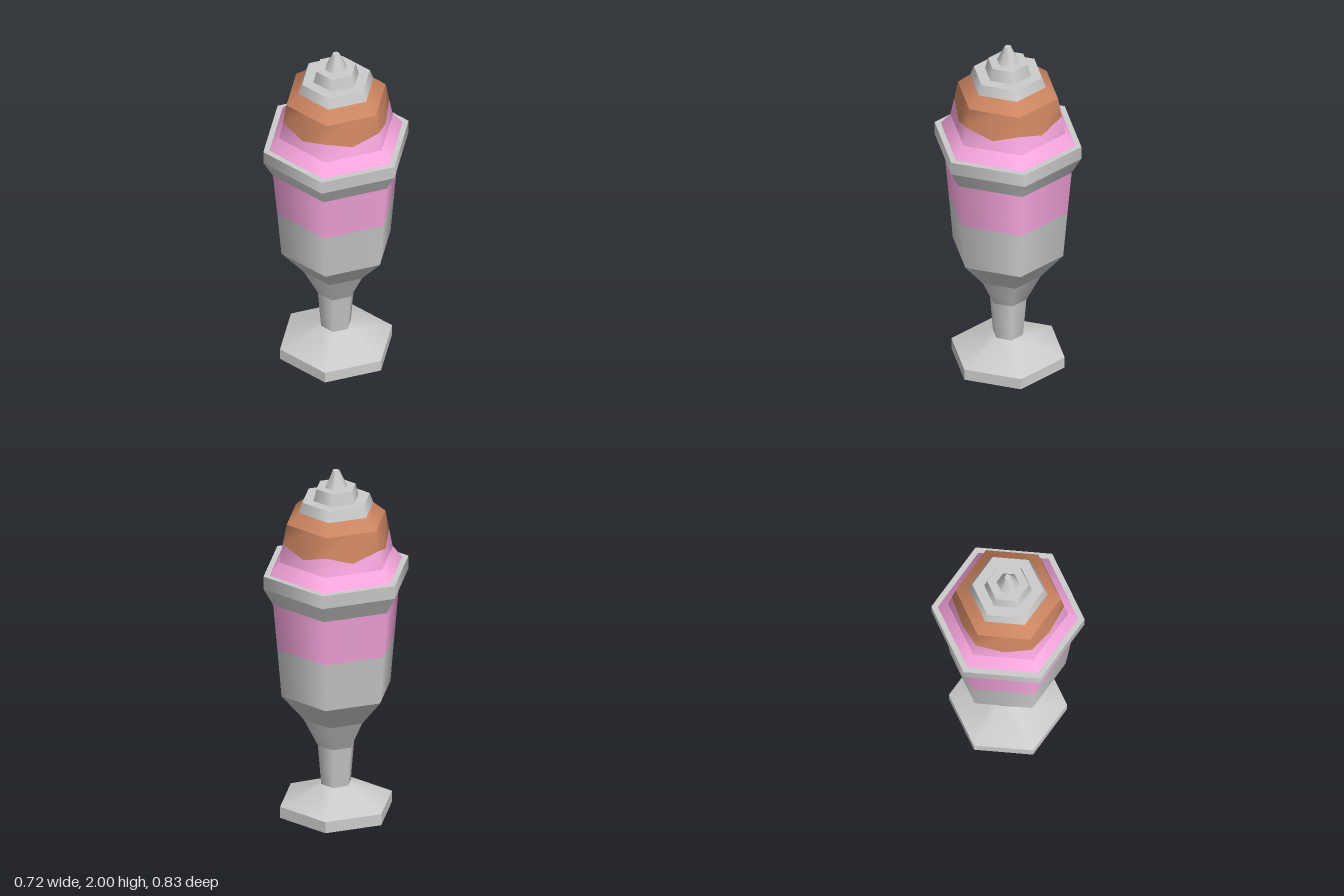
import * as THREE from 'three';

const SIDES = 6;
const glass = new THREE.MeshStandardMaterial({ color: 0xcccccc });
const glassFlat = new THREE.MeshStandardMaterial({ color: 0xcccccc, flatShading: true });
const pink = new THREE.MeshStandardMaterial({ color: 0xfaa8e0 });
const chocolate = new THREE.MeshStandardMaterial({ color: 0xcc8561 });

// Six-sided bands through [radius, y] points: smooth around, creased between bands
function turned(name, points, material) {
  const group = new THREE.Group();
  group.name = name;
  for (let i = 0; i < points.length - 1; i++) {
    const pair = [points[i], points[i + 1]].map(([r, y]) => new THREE.Vector2(r, y));
    const mesh = new THREE.Mesh(new THREE.LatheGeometry(pair, SIDES), material);
    mesh.name = name + 'Band' + (i + 1);
    group.add(mesh);
  }
  return group;
}

// Band between two hexagonal rows; each row gives [radius, y] at corners and at side middles
function zigzagBand(name, rows, material) {
  const n = SIDES * 2, positions = [], index = [];
  for (const row of rows) {
    for (let i = 0; i < n; i++) {
      const [r, y] = row[i % 2];
      const d = i % 2 ? r * Math.cos(Math.PI / SIDES) : r;
      const a = (i / n) * Math.PI * 2;
      positions.push(d * Math.sin(a), y, d * Math.cos(a));
    }
  }
  for (let i = 0; i < n; i++) {
    const j = (i + 1) % n;
    index.push(i, j, n + j, i, n + j, n + i);
  }
  const geometry = new THREE.BufferGeometry();
  geometry.setAttribute('position', new THREE.Float32BufferAttribute(positions, 3));
  geometry.setIndex(index);
  geometry.computeVertexNormals();
  const mesh = new THREE.Mesh(geometry, material);
  mesh.name = name;
  return mesh;
}

export function createModel() {
  const model = new THREE.Group();
  model.name = 'iceCreamSundae';

  // Glass: foot, stem and bowl
  model.add(turned('footEdge', [[0, 0], [0.32, 0], [0.32, 0.065]], glassFlat));
  model.add(turned('footTop', [[0.32, 0.065], [0.085, 0.165]], glass));
  model.add(turned('stem', [[0.085, 0.165], [0.104, 0.395]], glass));
  model.add(turned('bowl', [[0.104, 0.395], [0.185, 0.56], [0.312, 0.715], [0.336, 0.995]], glass));
  model.add(turned('bowlFilling', [[0.336, 0.995], [0.36, 1.26]], pink));
  model.add(turned('rim', [[0.36, 1.26], [0.415, 1.36], [0.415, 1.435], [0.38, 1.435]], glass));

  // Ice cream with a scalloped chocolate coat
  const high = [0.304, 1.61], dip = [0.314, 1.56];
  const waist = [0.325, 1.505], shoulder = [0.283, 1.72];
  model.add(turned('iceCreamBase', [[0.38, 1.435], waist], pink));
  model.add(zigzagBand('iceCream', [[waist, waist], [high, dip]], pink));
  model.add(zigzagBand('chocolateCoat', [[high, dip], [shoulder, shoulder]], chocolate));
  model.add(turned('chocolateTop', [shoulder, [0.214, 1.78]], chocolate));

  // Whipped cream tiers and peak
  model.add(turned('creamLowerTier', [[0.214, 1.78], [0.193, 1.837], [0.129, 1.837]], glass));
  model.add(turned('creamUpperTier', [[0.129, 1.837], [0.112, 1.905], [0.062, 1.905]], glass));
  model.add(turned('creamPeak', [[0.062, 1.905], [0.019, 2], [0, 2]], glass));

  return model;
}
